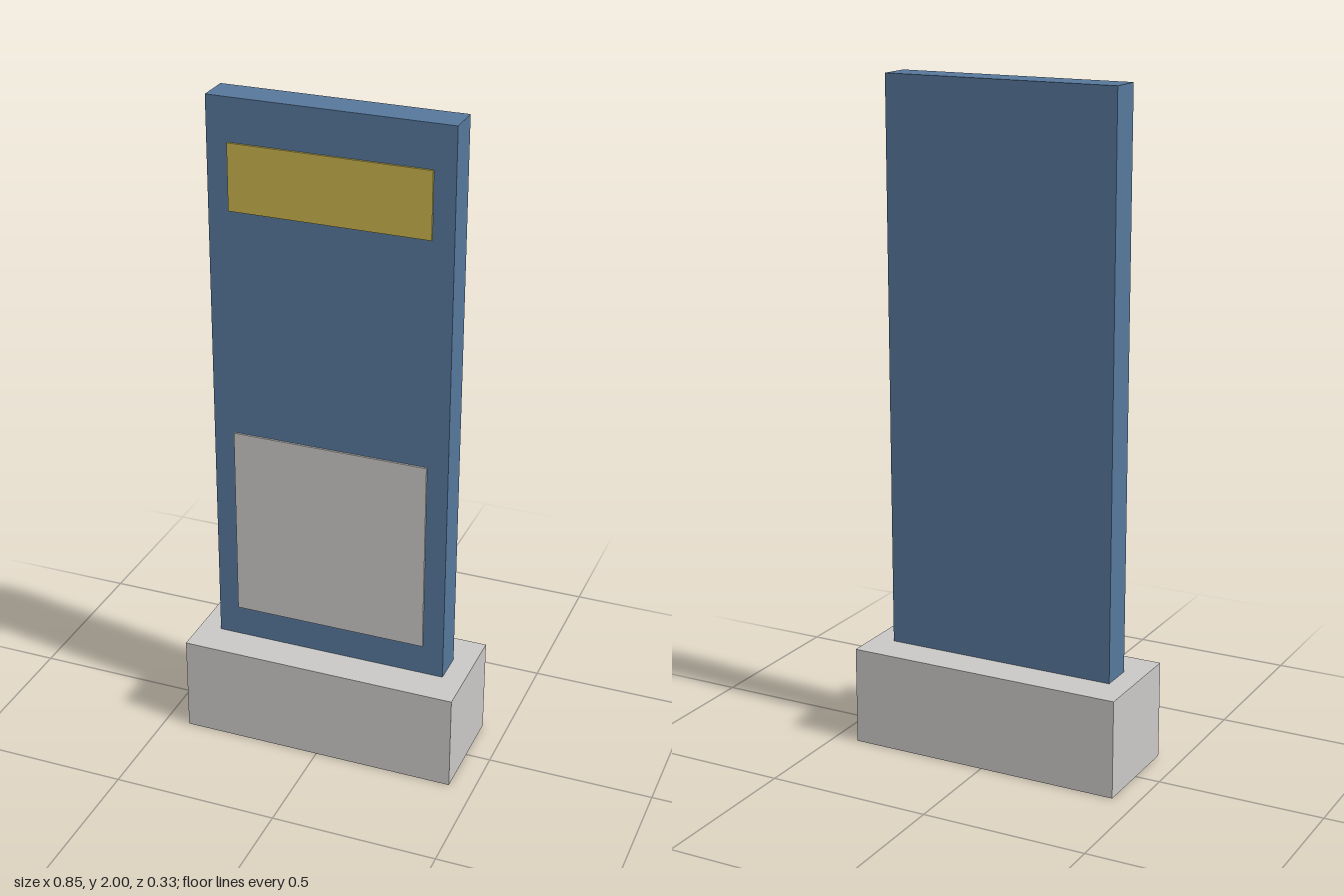
import * as THREE from 'three';

const material = (name, color) => {
  const m = new THREE.MeshStandardMaterial({ color });
  m.name = name;
  return m;
};

export function createModel() {
  const group = new THREE.Group();
  group.name = 'signPylon';
  const blue = material('blue', 0x56779b);
  const grey = material('lightGrey', 0xcac8c6);
  const yellow = material('yellow', 0xc9b44e);

  // Box spanning y0..y1 and z0..z1, centred on x = 0
  const block = (name, mat, width, y0, y1, z0, z1) => {
    const mesh = new THREE.Mesh(new THREE.BoxGeometry(width, y1 - y0, z1 - z0), mat);
    mesh.name = name;
    mesh.position.set(0, (y0 + y1) / 2, (z0 + z1) / 2);
    group.add(mesh);
  };

  // Plinth and upright slab
  block('plinth', grey, 0.85, 0, 0.297, -0.163, 0.163);
  block('slab', blue, 0.718, 0.297, 2, -0.051, 0.051);

  // Thin panels on the front face
  block('headerPanel', yellow, 0.592, 1.675, 1.872, 0.051, 0.057);
  block('infoPanel', grey, 0.592, 0.393, 0.988, 0.051, 0.057);

  return group;
}
